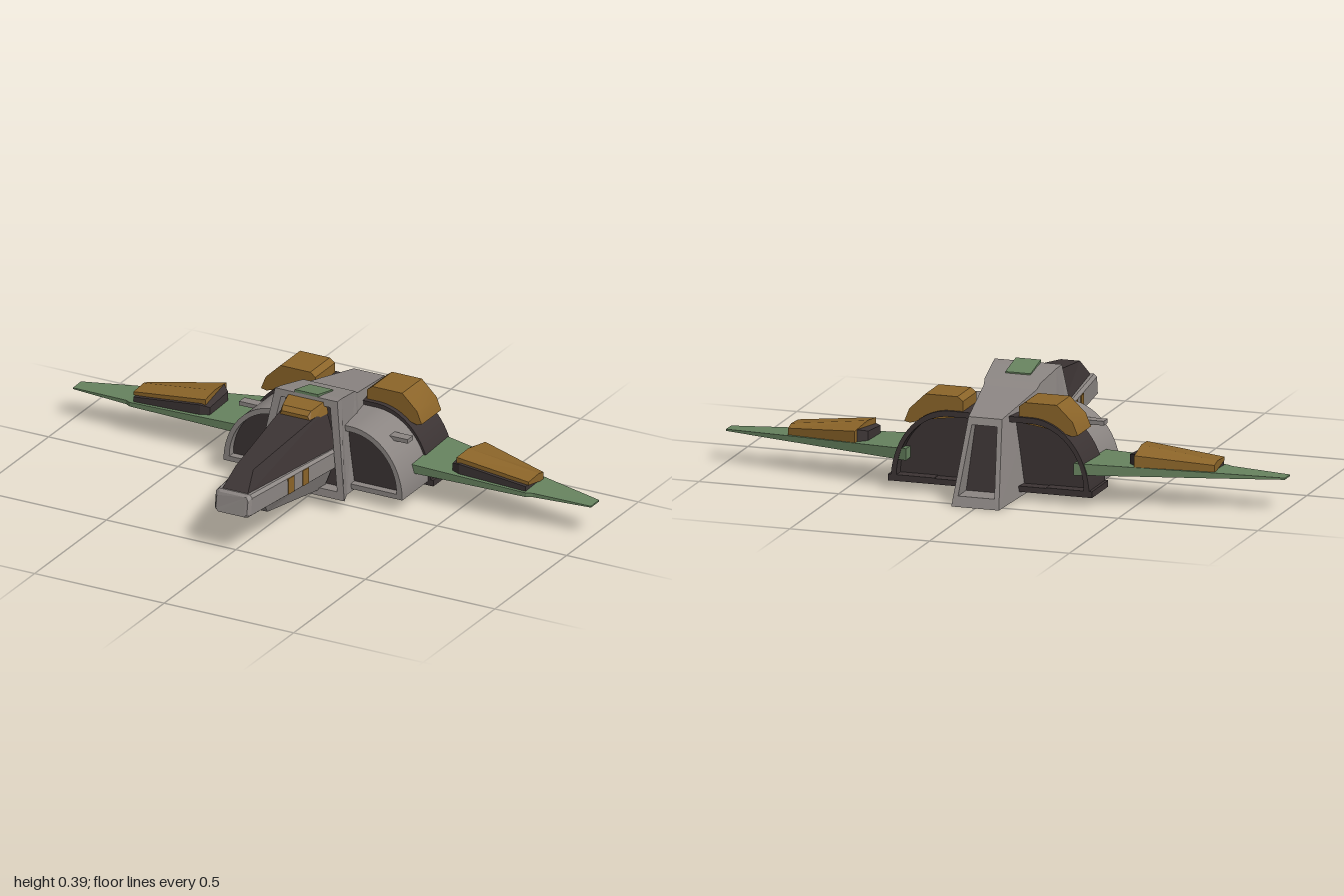
import * as THREE from 'three';
import { toCreasedNormals } from 'three/addons/utils/BufferGeometryUtils.js';

const paint = (name, color) => {
  const m = new THREE.MeshStandardMaterial({ color });
  m.name = name;
  return m;
};

// Flat-faced skin through equal-length rings; group 0 = sides, group 1 = end caps
function loft(rings) {
  const out = [], n = rings[0].length;
  const tri = (a, b, c) => out.push(...a, ...b, ...c);
  for (let i = 0; i < rings.length - 1; i++) {
    for (let j = 0; j < n; j++) {
      const k = (j + 1) % n, p = rings[i], q = rings[i + 1];
      tri(p[j], p[k], q[j]);
      tri(p[k], q[k], q[j]);
    }
  }
  const sides = out.length / 3, first = rings[0], last = rings[rings.length - 1];
  for (let j = 1; j < n - 1; j++) {
    tri(first[0], first[j + 1], first[j]);
    tri(last[0], last[j], last[j + 1]);
  }
  const g = new THREE.BufferGeometry();
  g.setAttribute('position', new THREE.Float32BufferAttribute(out, 3));
  g.addGroup(0, sides, 0);
  g.addGroup(sides, out.length / 3 - sides, 1);
  g.computeVertexNormals();
  return g;
}

// Completes a half ring (x > 0, top to bottom) with its mirror image
const sym = (half) => [...half, ...half.slice().reverse().map(([x, y, z]) => [-x, y, z])];
const symLoft = (halves) => loft(halves.map(sym));

// Reflects a geometry across x = 0, keeping faces outward
function reflect(geo) {
  const g = geo.index ? geo.toNonIndexed() : geo.clone();
  for (const key of ['position', 'normal']) {
    const a = g.attributes[key];
    for (let i = 0; i < a.count; i += 3) {
      const v = [0, 2, 1].map((k) => [-a.getX(i + k), a.getY(i + k), a.getZ(i + k)]);
      v.forEach((p, k) => a.setXYZ(i + k, ...p));
    }
  }
  return g;
}

// Rounded pod cross-section: flat inside and below, quarter ellipse outside
function arch(T, x0, y0, cx, rx, ry) {
  const s = new T();
  s.moveTo(x0, y0);
  s.lineTo(cx + rx, y0);
  s.absellipse(cx, y0, rx, ry, 0, Math.PI / 2, false);
  s.lineTo(x0, y0 + ry);
  s.closePath();
  return s;
}

function extrude(shape, zBack, zFront) {
  const g = new THREE.ExtrudeGeometry(shape, { depth: zFront - zBack, bevelEnabled: false, curveSegments: 16 });
  g.translate(0, 0, zBack);
  return toCreasedNormals(g, 0.5);
}

function box(x0, x1, y0, y1, z0, z1) {
  const g = new THREE.BoxGeometry(x1 - x0, y1 - y0, z1 - z0);
  g.translate((x0 + x1) / 2, (y0 + y1) / 2, (z0 + z1) / 2);
  return g;
}

export function createModel() {
  const grey = paint('hull grey', 0x8c8683);
  const dark = paint('dark panel', 0x3c3434);
  const gold = paint('ochre armour', 0x8c6529);
  const green = paint('wing green', 0x67835f);

  const model = new THREE.Group();
  model.name = 'spacecraft';
  const add = (name, geo, mat) => {
    const m = new THREE.Mesh(geo, mat);
    m.name = name;
    model.add(m);
  };
  const pair = (name, geo, mat) => {
    add(name + 'Left', geo, mat);
    add(name + 'Right', reflect(geo), mat);
  };

  // Central spine with recessed front collar and tail
  add('spine', symLoft([
    [[0.095, 0.355, -0.03], [0.145, 0.07, 0.012]],
    [[0.095, 0.355, 0.014], [0.145, 0.07, 0.056]],
    [[0.12, 0.38, 0.01], [0.175, 0.043, 0.06]],
    [[0.115, 0.375, -0.03], [0.152, 0.039, 0.0]],
    [[0.1, 0.352, -0.15], [0.145, 0.031, -0.12]],
    [[0.095, 0.335, -0.175], [0.14, 0.029, -0.15]],
    [[0.06, 0.29, -0.43], [0.085, 0.0, -0.535]],
    [[0.045, 0.265, -0.439], [0.065, 0.035, -0.523]],
    [[0.045, 0.265, -0.4], [0.065, 0.035, -0.44]],
  ]), [grey, dark]);
  add('dorsalPlate', symLoft([
    [[0.045, 0.39, 0.01], [0.045, 0.37, 0.01]],
    [[0.045, 0.367, -0.097], [0.045, 0.35, -0.097]],
  ]), green);

  // Nose: side band, chin, canopy and canopy cap
  add('noseBand', symLoft([
    [[0.052, 0.212, 0.52], [0.06, 0.2, 0.524], [0.06, 0.155, 0.532], [0.05, 0.145, 0.535]],
    [[0.06, 0.22, 0.51], [0.07, 0.21, 0.512], [0.07, 0.15, 0.52], [0.06, 0.142, 0.522]],
    [[0.117, 0.208, -0.02], [0.127, 0.2, -0.02], [0.127, 0.143, -0.02], [0.117, 0.135, -0.02]],
  ]), grey);
  add('chin', symLoft([
    [[0.07, 0.16, 0.4], [0.055, 0.14, 0.4]],
    [[0.078, 0.16, 0.37], [0.05, 0.1, 0.37]],
    [[0.115, 0.16, 0.02], [0.075, 0.057, 0.02]],
  ]), grey);
  add('canopy', symLoft([
    [[0.034, 0.28, 0.44], [0.05, 0.215, 0.51]],
    [[0.072, 0.342, 0.0], [0.113, 0.2, 0.0]],
  ]), dark);
  add('canopyCap', symLoft([
    [[0.05, 0.342, 0.09], [0.06, 0.325, 0.09]],
    [[0.055, 0.357, 0.075], [0.066, 0.325, 0.075]],
    [[0.07, 0.37, 0.0], [0.08, 0.325, 0.0]],
  ]), gold);

  // Ochre stripes on the nose band
  const stripeRing = (z) => {
    const x = 0.07 + 0.057 * (0.516 - z) / 0.536, top = 0.2 + 0.019 * z, low = 0.144 + 0.013 * z;
    return [[x + 0.003, top, z], [x + 0.003, low, z], [x - 0.004, low, z], [x - 0.004, top, z]];
  };
  for (const z of [0.305, 0.22]) pair('noseStripe', loft([stripeRing(z), stripeRing(z - 0.035)]), gold);

  // Rounded side pods: grey shell with a sunken dark face
  const shell = arch(THREE.Shape, 0.05, 0.045, 0.145, 0.2, 0.23);
  shell.holes.push(arch(THREE.Path, 0.06, 0.063, 0.145, 0.178, 0.192));
  pair('podShell', extrude(shell, -0.22, -0.037), grey);
  pair('podFace', extrude(arch(THREE.Shape, 0.055, 0.05, 0.145, 0.19, 0.215), -0.21, -0.065), dark);
  pair('podVent', box(0.24, 0.325, 0.222, 0.237, -0.147, -0.11), grey);

  // Rear engine housings, hollow at the back, with base flanges
  const housing = arch(THREE.Shape, 0.05, 0.03, 0.145, 0.21, 0.26);
  housing.holes.push(arch(THREE.Path, 0.06, 0.05, 0.145, 0.19, 0.22));
  pair('engineHousing', extrude(housing, -0.382, -0.217), dark);
  pair('engineFace', extrude(arch(THREE.Shape, 0.055, 0.04, 0.145, 0.2, 0.24), -0.34, -0.222), dark);
  pair('engineFlange', box(0.2, 0.365, 0.03, 0.052, -0.382, -0.217), dark);

  // Faceted armour over each engine
  const armour = new THREE.Shape([
    [0.1, 0.27], [0.24, 0.25], [0.29, 0.235], [0.31, 0.24], [0.292, 0.285], [0.235, 0.34], [0.12, 0.34], [0.1, 0.325],
  ].map(([x, y]) => new THREE.Vector2(x, y)));
  pair('engineArmour', extrude(armour, -0.372, -0.235), gold);

  // Wings: sections run from root to tip
  const section = (x, yTop, yLow, back, front) =>
    [[x, yTop, back], [x, yTop - (yTop - yLow) * 0.2, front], [x, yLow, front], [x, yLow, back]];
  pair('wing', loft([
    section(0.3, 0.146, 0.105, -0.385, -0.133),
    section(0.765, 0.127, 0.108, -0.28, -0.142),
    section(0.785, 0.126, 0.108, -0.275, -0.153),
    section(1.0, 0.116, 0.11, -0.226, -0.17),
  ]), green);

  // Wedge pods on the wings: dark base, ochre cover
  pair('wingPodBase', loft([
    section(0.468, 0.17, 0.12, -0.29, -0.165),
    section(0.5, 0.18, 0.12, -0.32, -0.152),
    section(0.757, 0.148, 0.115, -0.26, -0.152),
  ]), dark);
  pair('wingPodCover', loft([
    [[0.5, 0.178, -0.336], [0.49, 0.192, -0.235], [0.485, 0.186, -0.163], [0.485, 0.166, -0.163], [0.5, 0.132, -0.336]],
    [[0.763, 0.15, -0.268], [0.763, 0.159, -0.235], [0.763, 0.155, -0.163], [0.763, 0.143, -0.163], [0.763, 0.122, -0.268]],
  ]), gold);

  return model;
}
